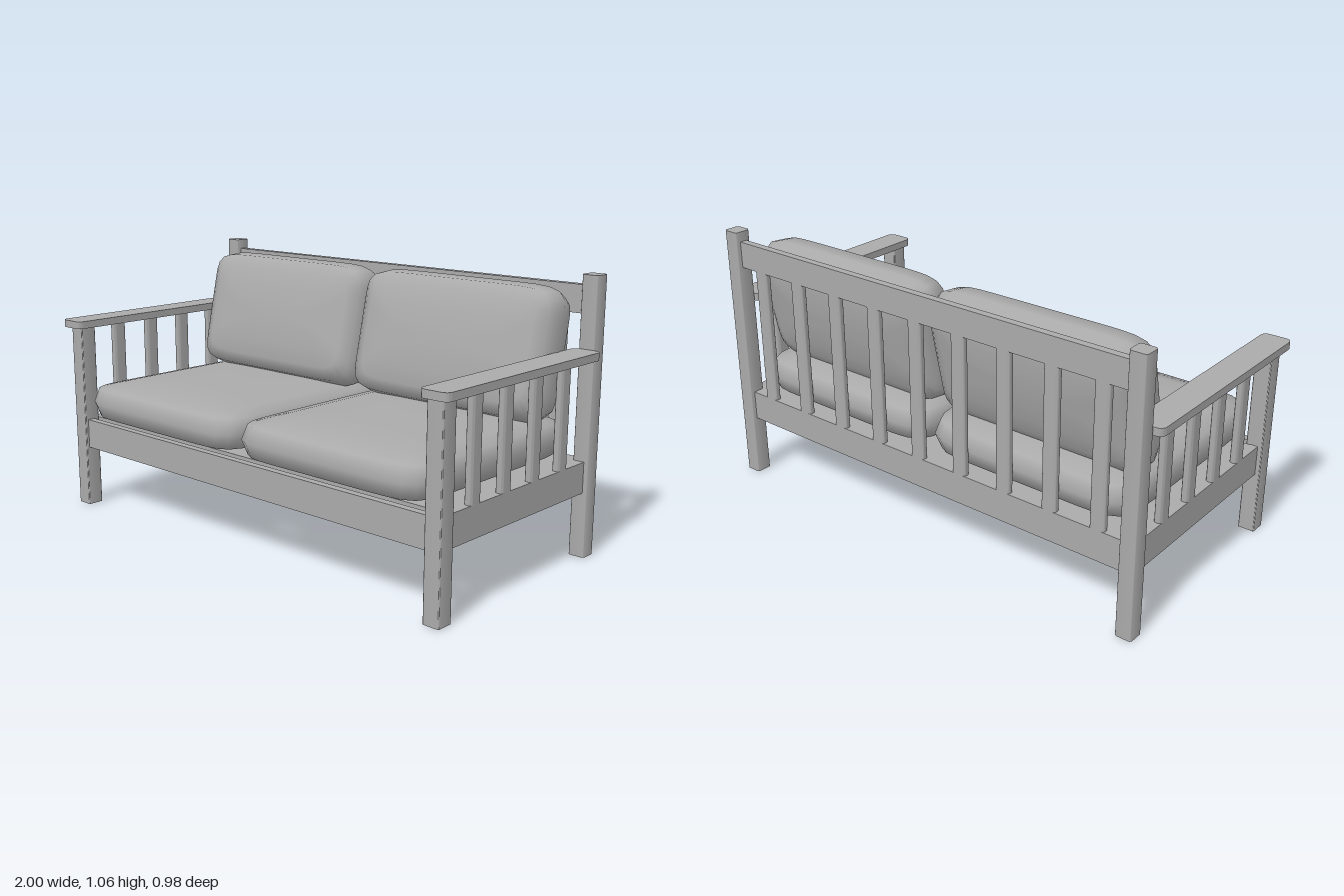
import * as THREE from 'three';
import { toCreasedNormals } from 'three/addons/utils/BufferGeometryUtils.js';

const grey = new THREE.MeshStandardMaterial({ color: 0xaaaaaa });
grey.name = 'plain grey';

// Upright bar with rounded vertical edges: w along x, d along z, from y0 to y1
function bar(w, d, y0, y1, r) {
  const x = w / 2, z = d / 2;
  const s = new THREE.Shape();
  s.moveTo(-x + r, -z);
  s.lineTo(x - r, -z);
  s.absarc(x - r, -z + r, r, -Math.PI / 2, 0);
  s.lineTo(x, z - r);
  s.absarc(x - r, z - r, r, 0, Math.PI / 2);
  s.lineTo(-x + r, z);
  s.absarc(-x + r, z - r, r, Math.PI / 2, Math.PI);
  s.lineTo(-x, -z + r);
  s.absarc(-x + r, -z + r, r, Math.PI, Math.PI * 1.5);
  const g = new THREE.ExtrudeGeometry(s, { depth: y1 - y0, bevelEnabled: false, curveSegments: 5 });
  g.rotateX(-Math.PI / 2).translate(0, y0, 0);
  return toCreasedNormals(g, 0.7);
}

// Pillow: stacked rounded outlines, half sizes a (x), h (y), c (z)
function cushion(a, h, c, spread) {
  const half = [[0, 0], [0.67, 0.018], [0.85, 0.065 * spread], [0.95, 0.13 * spread], [1, 0.2 * spread]];
  const levels = [...half.slice(1).reverse().map(([y, i]) => [-y, i]), ...half];
  const n = 72, pos = [0, -h, 0], idx = [];
  for (const [y, inset] of levels) {
    for (let k = 0; k < n; k++) {
      const t = (k / n) * Math.PI * 2, cx = Math.cos(t), cz = Math.sin(t);
      const r = Math.pow(Math.abs(cx) ** 9 + Math.abs(cz) ** 9, -1 / 9);
      pos.push((a - inset) * r * cx, y * h, (c - inset) * r * cz);
    }
  }
  pos.push(0, h, 0);
  const last = pos.length / 3 - 1, top = 1 + (levels.length - 1) * n;
  for (let k = 0; k < n; k++) {
    const m = (k + 1) % n;
    idx.push(0, 1 + k, 1 + m, last, top + m, top + k);
    for (let j = 0; j < levels.length - 1; j++) {
      const p = 1 + j * n, q = p + n;
      idx.push(p + k, q + k, p + m, p + m, q + k, q + m);
    }
  }
  const g = new THREE.BufferGeometry();
  g.setAttribute('position', new THREE.Float32BufferAttribute(pos, 3));
  g.setIndex(idx);
  g.computeVertexNormals();
  return g;
}

export function createModel() {
  const sofa = new THREE.Group();
  sofa.name = 'sofa';
  const add = (name, geometry, x, y, z) => {
    const m = new THREE.Mesh(geometry, grey);
    m.name = name;
    m.position.set(x, y, z);
    sofa.add(m);
    return m;
  };
  const box = (name, w, h, d, x, y, z) => add(name, new THREE.BoxGeometry(w, h, d), x, y, z);

  const frontLeg = bar(0.068, 0.068, 0, 0.76, 0.006);
  const backPost = bar(0.068, 0.068, 0, 1.06, 0.012);
  const armrest = bar(0.115, 0.907, 0.76, 0.79, 0.025);
  const sideSlat = bar(0.03, 0.062, 0.37, 0.76, 0.013);
  const backSlat = bar(0.062, 0.03, 0.37, 0.915, 0.013);
  const seatCushion = cushion(0.444, 0.0875, 0.46, 1.35);
  const backCushion = cushion(0.444, 0.106, 0.255, 1);

  for (const s of [1, -1]) {
    const side = s > 0 ? 'left' : 'right';
    // Side frames
    add(side + 'FrontLeg', frontLeg, s * 0.935, 0, 0.429);
    add(side + 'BackPost', backPost, s * 0.935, 0, -0.454);
    add(side + 'Armrest', armrest, s * 0.9425, 0, 0.0335);
    box(side + 'SideRail', 0.03, 0.12, 0.815, s * 0.935, 0.31, -0.0125);
    for (let i = 0; i < 4; i++) add(side + 'SideSlat', sideSlat, s * 0.935, 0, 0.252 - i * 0.176);
    // Cushions
    add(side + 'SeatCushion', seatCushion, s * 0.446, 0.4575, 0.02);
    const back = add(side + 'BackCushion', backCushion, s * 0.446, 0.77, -0.3);
    back.rotation.x = Math.PI / 2 - 0.218;
  }

  // Long rails and seat deck
  box('frontRail', 1.81, 0.12, 0.03, 0, 0.31, 0.435);
  box('backRail', 1.81, 0.12, 0.03, 0, 0.31, -0.455);
  box('topRail', 1.81, 0.105, 0.03, 0, 0.9675, -0.455);
  box('seatDeck', 1.84, 0.02, 0.83, 0, 0.36, -0.025);

  // Back slats
  for (let i = -4; i <= 4; i++) add('backSlat', backSlat, i * 0.2, 0, -0.455);

  return sofa;
}
